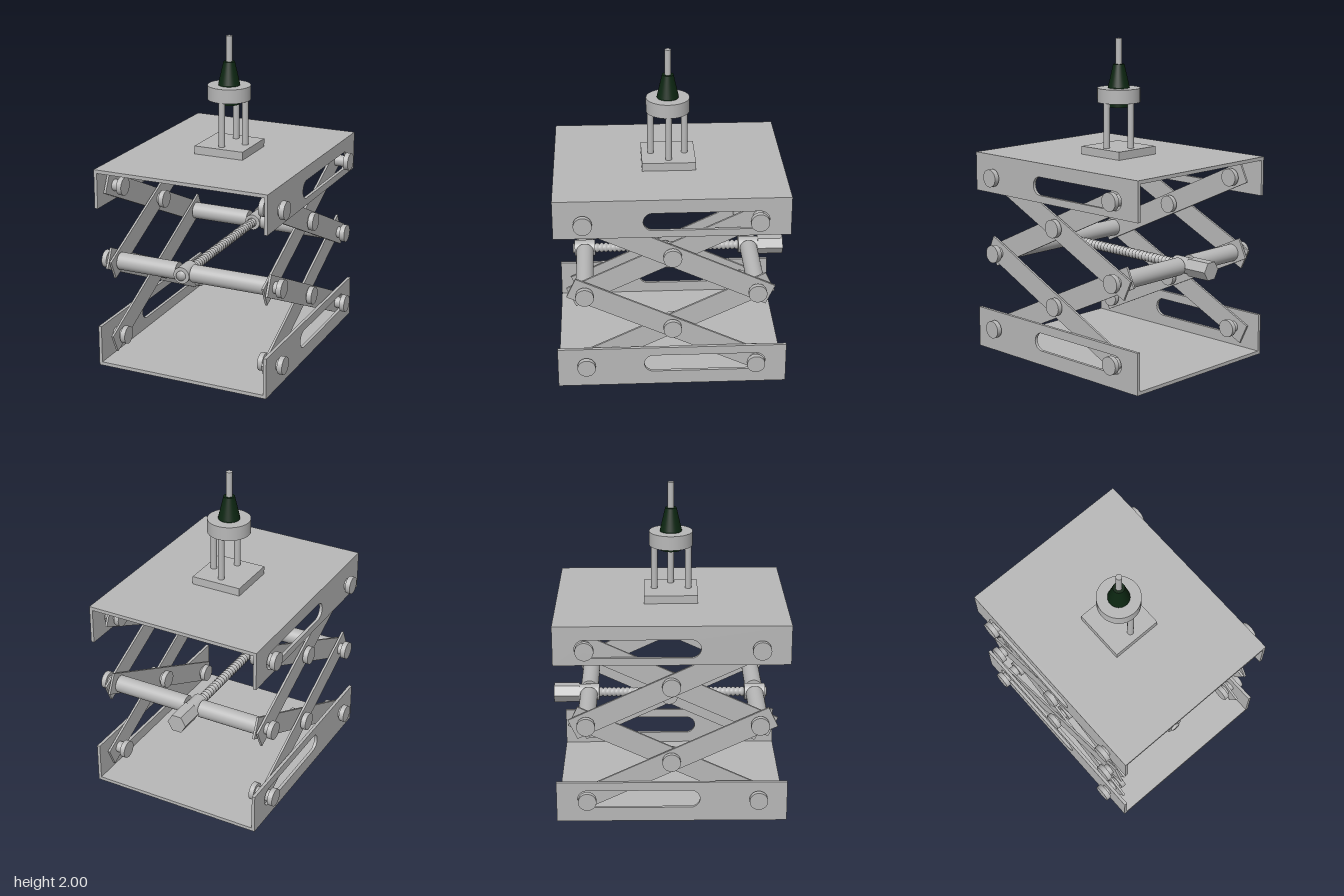
import * as THREE from 'three';

export function createModel() {
  const model = new THREE.Group();
  model.name = 'scissorLift';
  const metal = new THREE.MeshStandardMaterial({ name: 'grey metal', color: 0xb8b8b8 });
  const green = new THREE.MeshStandardMaterial({ name: 'dark green', color: 0x0c2611 });
  const CX = 0.005; // middle of the frame
  const FRONT = 0.543, BACK = -0.505, MID = 0.643;

  function add(name, geometry, x, y, z, material = metal) {
    const mesh = new THREE.Mesh(geometry, material);
    mesh.name = name;
    mesh.position.set(x, y, z);
    model.add(mesh);
    return mesh;
  }
  const cylY = (name, r, y0, y1, x, z, rTop = r, material = metal) =>
    add(name, new THREE.CylinderGeometry(rTop, r, y1 - y0, 32), x, (y0 + y1) / 2, z, material);
  const cylX = (name, r, x0, x1, y, z) =>
    add(name, new THREE.CylinderGeometry(r, r, Math.abs(x1 - x0), 32).rotateZ(Math.PI / 2), (x0 + x1) / 2, y, z);

  // Plates with slotted side flanges
  function flange(name, x, y0, y1, slotY) {
    const shape = new THREE.Shape();
    shape.moveTo(-0.72, y0);
    shape.lineTo(0.695, y0);
    shape.lineTo(0.695, y1);
    shape.lineTo(-0.72, y1);
    shape.closePath();
    const slot = new THREE.Path();
    slot.absarc(0.508, slotY, 0.057, Math.PI / 2, -Math.PI / 2, true);
    slot.absarc(-0.128, slotY, 0.057, -Math.PI / 2, -Math.PI * 1.5, true);
    slot.closePath();
    shape.holes.push(slot);
    const geo = new THREE.ExtrudeGeometry(shape, { depth: 0.02, bevelEnabled: false, curveSegments: 16 });
    add(name, geo.rotateY(Math.PI / 2), x, 0, 0);
  }
  const plate = new THREE.BoxGeometry(1.09, 0.022, 1.415);
  add('basePlate', plate, CX, 0.011, 0.0125);
  add('topPlate', plate, CX, 1.264, 0.0125);
  for (const x of [CX - 0.565, CX + 0.545]) {
    flange('baseFlange', x, 0, 0.26, 0.148);
    flange('topFlange', x, 1.03, 1.275, 1.132);
  }

  // Scissor arm running between two pins, with overhanging square ends
  function arm(x, z0, y0, z1, y1) {
    const dz = z1 - z0, dy = y1 - y0;
    const geo = new THREE.BoxGeometry(0.014, 0.135, Math.hypot(dz, dy) + 0.18);
    const mesh = add('scissorArm', geo, x, (y0 + y1) / 2, (z0 + z1) / 2);
    mesh.rotation.x = -Math.atan2(dy, dz);
  }
  // Pin with a head on both ends
  function pin(s, inner, outer, y, z) {
    cylX('pinShank', 0.036, CX + s * inner, CX + s * outer, y, z);
    cylX('pinOuterHead', 0.056, CX + s * (outer - 0.032), CX + s * outer, y, z);
    cylX('pinInnerHead', 0.056, CX + s * inner, CX + s * (inner + 0.032), y, z);
  }
  for (const s of [-1, 1]) {
    for (const [low, high] of [[0.15, MID], [MID, 1.132]]) {
      arm(CX + s * 0.533, FRONT, high, BACK, low);
      arm(CX + s * 0.508, FRONT, low, BACK, high);
      pin(s, 0.45, 0.582, (low + high) / 2, 0.01);
    }
    for (const z of [FRONT, BACK]) {
      for (const y of [0.15, 1.132]) pin(s, 0.452, 0.612, y, z);
      // Cross rod half with its end head
      cylX('crossRod', 0.055, s > 0 ? 0.01 : -0.09, CX + s * 0.495, MID, z);
      cylX('crossRodPin', 0.036, CX + s * 0.48, CX + s * 0.6, MID, z);
      cylX('crossRodHead', 0.056, CX + s * 0.568, CX + s * 0.6, MID, z);
    }
  }

  // Threaded drive screw
  const SX = -0.04;
  const profile = [new THREE.Vector2(0, -0.6), new THREE.Vector2(0.03, -0.6)];
  for (let i = 0; i < 42; i++) {
    const y = -0.585 + i * 0.028;
    profile.push(new THREE.Vector2(0.022, y), new THREE.Vector2(0.031, y + 0.009), new THREE.Vector2(0.031, y + 0.018));
  }
  profile.push(new THREE.Vector2(0.03, 0.62), new THREE.Vector2(0, 0.62));
  add('driveScrew', new THREE.LatheGeometry(profile, 20).rotateX(Math.PI / 2), SX, MID, 0);
  for (const z of [FRONT, BACK]) {
    add('screwCollar', new THREE.CylinderGeometry(0.052, 0.052, 0.13, 32).rotateX(Math.PI / 2), SX, MID, z);
  }
  // Hexagonal drive head with corners to the sides
  const hex = new THREE.CylinderGeometry(0.062, 0.062, 0.16, 6).toNonIndexed();
  hex.rotateY(Math.PI / 6).rotateX(Math.PI / 2).computeVertexNormals();
  add('hexHead', hex, SX, MID, -0.645);

  // Mount on the top plate
  const TZ = 0.013;
  add('mountBase', new THREE.BoxGeometry(0.325, 0.052, 0.33), CX, 1.3, TZ);
  for (const [x, z] of [[0, 0.107], [0, -0.102], [0.108, 0]]) {
    cylY('mountPost', 0.02, 1.32, 1.61, x + 0.002, z + TZ);
  }
  cylY('mountDisc', 0.134, 1.605, 1.693, CX - 0.003, TZ);
  cylY('nozzleBase', 0.067, 1.575, 1.7, 0.002, TZ, 0.067, green);
  cylY('nozzleCone', 0.067, 1.7, 1.84, 0.002, TZ, 0.035, green);
  cylY('nozzleTip', 0.019, 1.83, 2.0, 0.002, TZ);

  return model;
}
